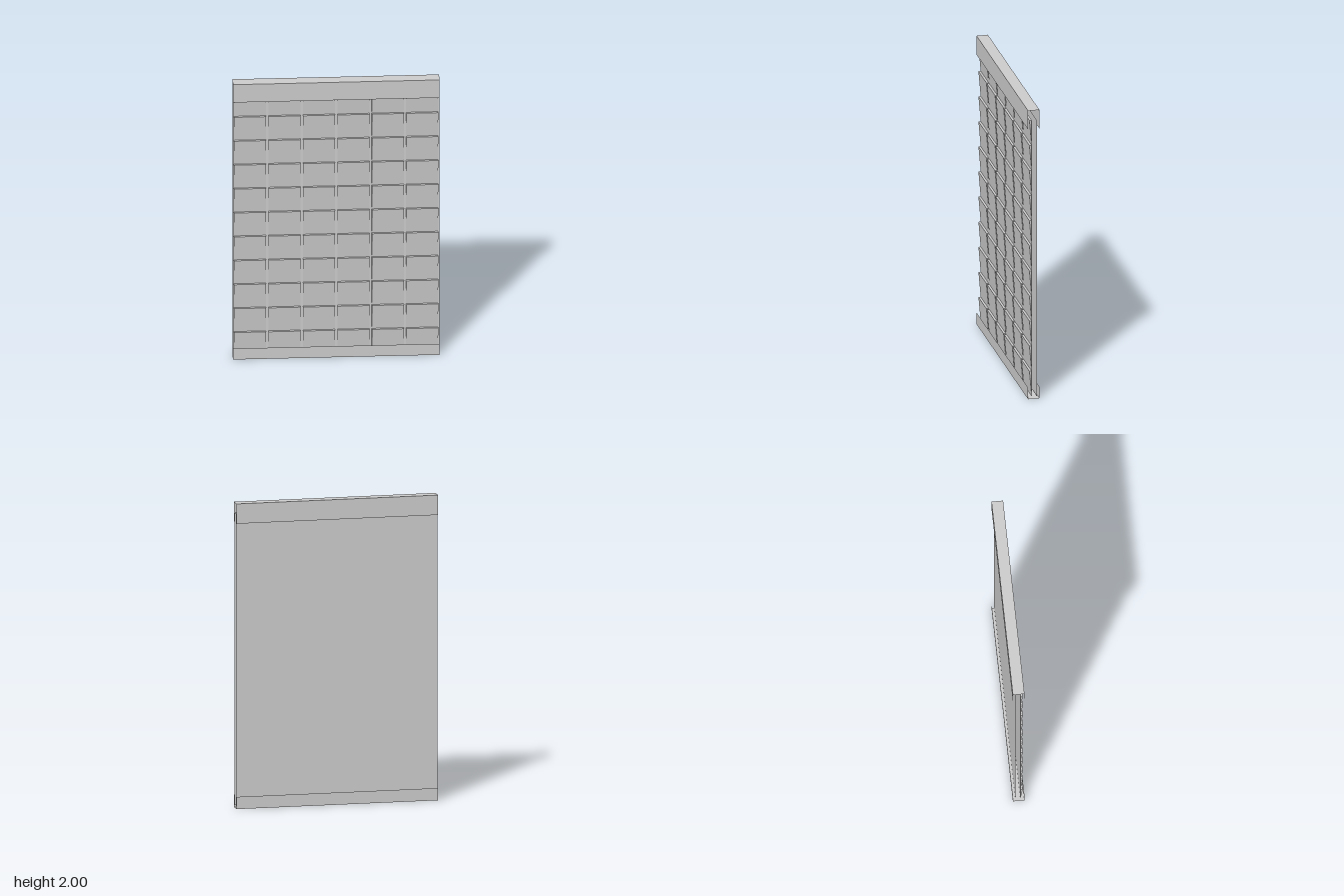
import * as THREE from 'three';

const WIDTH = 1.33, HALF_DEPTH = 0.0375;
const COLS = 6, ROWS = 11, PITCH_Y = 0.174, BASE_Y = 0.016;
const PITCH_X = WIDTH / COLS, TILE_W = 0.206;
const FRONT_Z = 0.012, TILE_DEPTH = 0.015, BACK_Z = -0.02;

const sheetMat = new THREE.MeshStandardMaterial({ color: 0xcccccc, side: THREE.DoubleSide, flatShading: true });
const solidMat = new THREE.MeshStandardMaterial({ color: 0xcccccc, flatShading: true });

// Thin flat sheet facing +z
function sheet(name, w, h, x, y, z) {
  const mesh = new THREE.Mesh(new THREE.PlaneGeometry(w, h), sheetMat);
  mesh.name = name;
  mesh.position.set(x, y, z);
  return mesh;
}

// Folded U channel, open at both ends: web at webY, lips reaching to lipY
function channel(name, webY, lipY) {
  const rail = new THREE.Group();
  rail.name = name;
  const h = Math.abs(webY - lipY), mid = (webY + lipY) / 2;
  rail.add(sheet(name + 'FrontLip', WIDTH, h, 0, mid, HALF_DEPTH));
  const back = sheet(name + 'BackLip', WIDTH, h, 0, mid, -HALF_DEPTH);
  back.rotation.y = Math.PI;
  rail.add(back);
  const web = sheet(name + 'Web', WIDTH, HALF_DEPTH * 2, 0, webY, 0);
  web.rotation.x = webY > lipY ? -Math.PI / 2 : Math.PI / 2;
  rail.add(web);
  return rail;
}

// Wedge tile: deepest at its top edge, flush with the sheet at its bottom
function wedgeGeometry() {
  const s = new THREE.Shape();
  s.moveTo(0, 0);
  s.lineTo(TILE_DEPTH, PITCH_Y);
  s.lineTo(0, PITCH_Y);
  s.closePath();
  const g = new THREE.ExtrudeGeometry(s, { depth: TILE_W, bevelEnabled: false });
  g.rotateY(-Math.PI / 2);
  g.translate(TILE_W / 2, 0, 0);
  return g;
}

export function createModel() {
  const model = new THREE.Group();
  model.name = 'wallPanel';

  // Top and bottom rails
  model.add(channel('topRail', 2, 1.87));
  model.add(channel('bottomRail', 0, 0.08));

  // Front and back sheets
  const h = ROWS * PITCH_Y, midY = BASE_Y + h / 2;
  model.add(sheet('frontSheet', WIDTH, h, 0, midY, FRONT_Z));
  const back = sheet('backSheet', WIDTH, h, 0, midY, BACK_Z);
  back.rotation.y = Math.PI;
  model.add(back);

  // Grid of wedge tiles on the front sheet
  const tiles = new THREE.Group();
  tiles.name = 'tiles';
  const geo = wedgeGeometry();
  for (let r = 0; r < ROWS; r++) {
    for (let c = 0; c < COLS; c++) {
      const tile = new THREE.Mesh(geo, solidMat);
      tile.name = 'tile';
      tile.position.set((c - (COLS - 1) / 2) * PITCH_X, BASE_Y + r * PITCH_Y, FRONT_Z);
      tiles.add(tile);
    }
  }
  model.add(tiles);
  return model;
}
